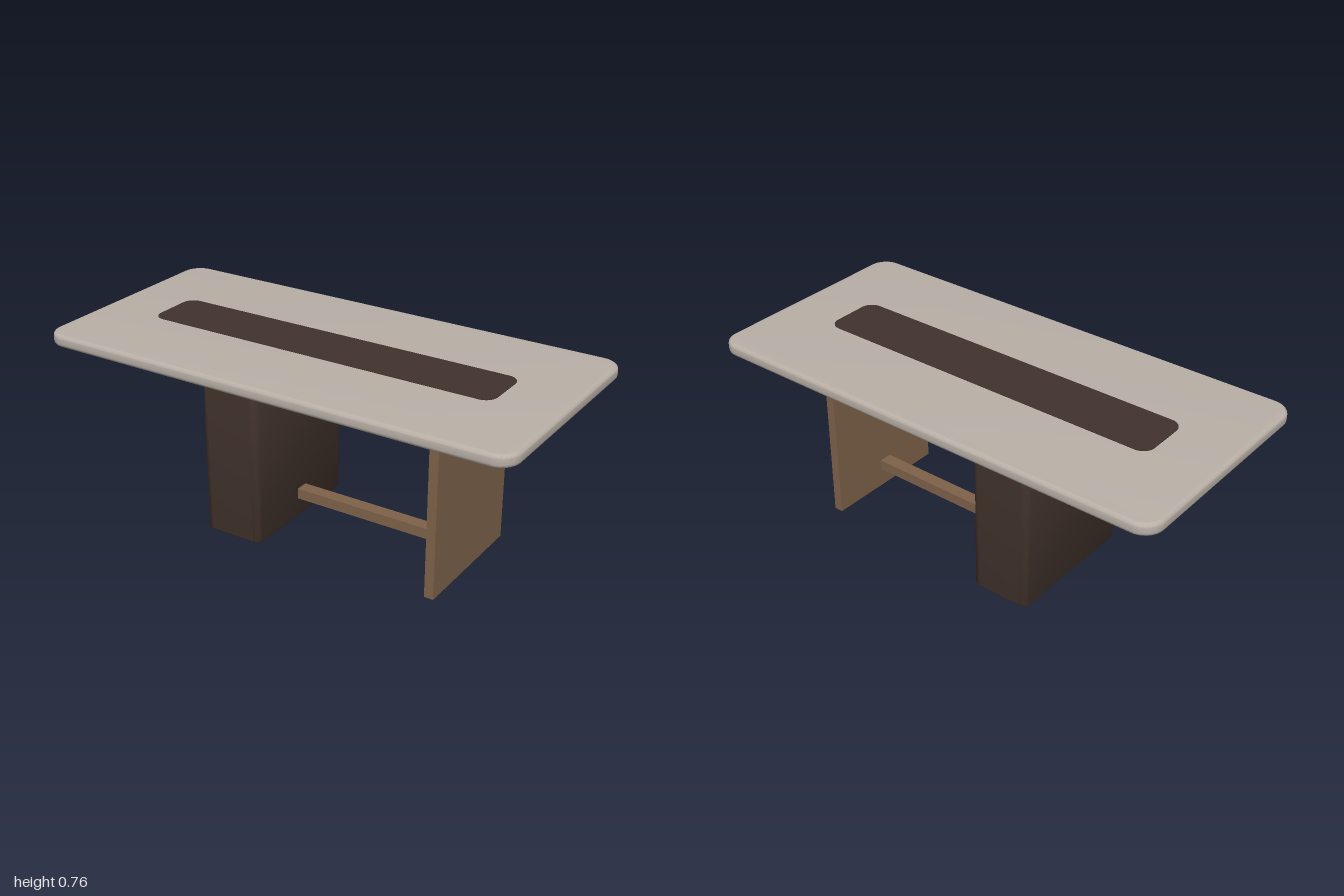
import * as THREE from 'three';
import { toCreasedNormals } from 'three/addons/utils/BufferGeometryUtils.js';

// Horizontal slab with rounded corners and softened top and bottom edges, base at y = 0
function roundedSlab(width, depth, height, radius, bevel) {
  const x = width / 2 - bevel, y = depth / 2 - bevel, r = radius - bevel;
  const shape = new THREE.Shape();
  shape.absarc(x - r, y - r, r, 0, Math.PI / 2);
  shape.absarc(-x + r, y - r, r, Math.PI / 2, Math.PI);
  shape.absarc(-x + r, -y + r, r, Math.PI, Math.PI * 1.5);
  shape.absarc(x - r, -y + r, r, Math.PI * 1.5, Math.PI * 2);
  shape.closePath();
  const geometry = new THREE.ExtrudeGeometry(shape, {
    depth: height - 2 * bevel,
    bevelEnabled: bevel > 0,
    bevelSize: bevel,
    bevelThickness: bevel,
    bevelSegments: 4,
    curveSegments: 10,
  });
  geometry.translate(0, 0, bevel);
  geometry.rotateX(-Math.PI / 2);
  return toCreasedNormals(geometry, 0.6);
}

export function createModel() {
  const model = new THREE.Group();
  model.name = 'diningTable';

  const material = (name, color) => {
    const m = new THREE.MeshStandardMaterial({ color });
    m.name = name;
    return m;
  };
  const stone = material('paleStone', 0xb9b0a7);
  const darkWood = material('darkWood', 0x41322b);
  const wood = material('warmWood', 0x7e6249);

  const add = (name, geometry, mat, x, y, z) => {
    const mesh = new THREE.Mesh(geometry, mat);
    mesh.name = name;
    mesh.position.set(x, y, z);
    model.add(mesh);
  };

  // Table top with its thin inlaid runner
  add('tableTop', roundedSlab(2, 0.95, 0.05, 0.08, 0.015), stone, 0, 0.711, 0);
  add('topInlay', roundedSlab(1.5, 0.24, 0.003, 0.05, 0), darkWood, 0, 0.76, 0);

  // Heavy block leg on one side, slim panel leg on the other
  add('blockLeg', roundedSlab(0.255, 0.6, 0.711, 0.03, 0.006), darkWood, -0.252, 0, 0);
  add('panelLeg', new THREE.BoxGeometry(0.038, 0.711, 0.55), wood, 0.618, 0.3555, 0);

  // Low stretcher joining the legs
  add('stretcher', new THREE.BoxGeometry(0.73, 0.044, 0.055), wood, 0.237, 0.102, 0);

  return model;
}
